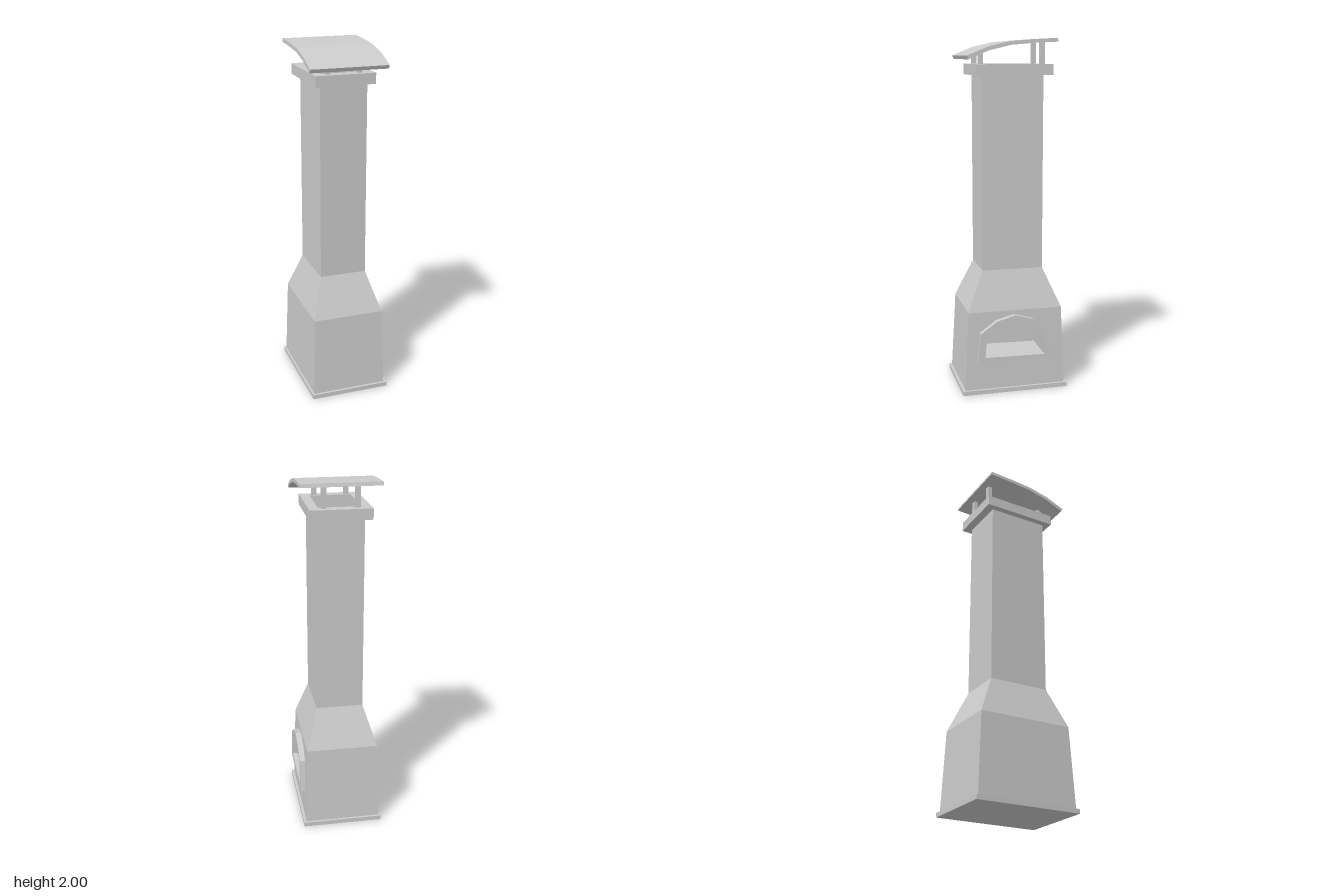
import * as THREE from 'three';

const material = new THREE.MeshStandardMaterial({ color: 0xcccccc, flatShading: true });

function addMesh(parent, name, geometry) {
  const mesh = new THREE.Mesh(geometry, material);
  mesh.name = name;
  parent.add(mesh);
  return mesh;
}

function addBox(parent, name, x0, x1, y0, y1, z0, z1) {
  const mesh = addMesh(parent, name, new THREE.BoxGeometry(x1 - x0, y1 - y0, z1 - z0));
  mesh.position.set((x0 + x1) / 2, (y0 + y1) / 2, (z0 + z1) / 2);
}

// Horizontal rectangle, counter-clockwise seen from above
const ring = (y, x0, x1, z0, z1) => [[x0, y, z1], [x1, y, z1], [x1, y, z0], [x0, y, z0]];

// Flat quads joining successive loops; skip(level, side) leaves a quad out
function loft(loops, skip = () => false) {
  const positions = [];
  for (let i = 0; i < loops.length - 1; i++) {
    const a = loops[i], b = loops[i + 1];
    a.forEach((p, j) => {
      if (skip(i, j)) return;
      const k = (j + 1) % a.length;
      positions.push(...p, ...a[k], ...b[k], ...p, ...b[k], ...b[j]);
    });
  }
  const geometry = new THREE.BufferGeometry();
  geometry.setAttribute('position', new THREE.Float32BufferAttribute(positions, 3));
  geometry.computeVertexNormals();
  return geometry;
}

// Outlines on the +x side as [z, y], counter-clockwise seen from outside
const frameOutline = [[0.222, 0.185], [-0.222, 0.187], [-0.188, 0.37], [-0.103, 0.43],
  [0.003, 0.457], [0.108, 0.43], [0.203, 0.362]];
const opening = [[0.177, 0.22], [-0.172, 0.213], [-0.161, 0.352], [-0.087, 0.393],
  [0.003, 0.411], [0.098, 0.393], [0.168, 0.348]];

function sideShape(outline) {
  const toVectors = (pts) => pts.map(([z, y]) => new THREE.Vector2(-z, y));
  const shape = new THREE.Shape(toVectors(outline));
  shape.holes.push(new THREE.Path(toVectors(opening)));
  return shape;
}

export function createModel() {
  const model = new THREE.Group();
  model.name = 'outdoorFireplace';

  addBox(model, 'basePlate', -0.233, 0.225, 0, 0.025, -0.31, 0.306);

  // Tapered hearth, shoulders and chimney shaft; the wall with the opening is separate
  addMesh(model, 'hearthAndChimney', loft([
    ring(0.025, -0.222, 0.21, -0.296, 0.291),
    ring(0.48, -0.209, 0.198, -0.277, 0.267),
    ring(0.705, -0.139, 0.129, -0.181, 0.17),
    ring(1.8, -0.139, 0.129, -0.181, 0.17),
  ], (level, side) => level === 0 && side === 1));

  // Pierced hearth wall, leaning inward with height
  const wall = new THREE.ShapeGeometry(sideShape(
    [[0.291, 0.025], [-0.296, 0.025], [-0.277, 0.48], [0.267, 0.48]])).rotateY(Math.PI / 2);
  const pos = wall.attributes.position;
  for (let i = 0; i < pos.count; i++) {
    pos.setX(i, 0.21 - 0.012 * (pos.getY(i) - 0.025) / 0.455);
  }
  wall.computeVertexNormals();
  addMesh(model, 'openingWall', wall);

  // Raised arched surround
  addMesh(model, 'openingFrame', new THREE.ExtrudeGeometry(sideShape(frameOutline),
    { depth: 0.041, bevelEnabled: false }).rotateY(Math.PI / 2).translate(0.19, 0, 0));

  // Fire chamber behind the opening
  addMesh(model, 'fireChamber', loft([
    opening.map(([z, y]) => [0.2, y, z]),
    opening.map(([z, y]) => [0, y, z]),
    opening.map(() => [0, 0.3, 0]),
  ]));

  // Chimney collar, continuing down into the flue
  const inner = (y) => ring(y, -0.122, 0.11, -0.165, 0.148);
  const outer = (y) => ring(y, -0.175, 0.163, -0.228, 0.21);
  addMesh(model, 'chimneyCollar', loft([
    inner(1.8), outer(1.8), outer(1.86), inner(1.86), inner(1.5),
    ring(1.5, -0.006, -0.006, -0.008, -0.008),
  ]));

  // Four posts carrying the rain cover
  for (const x of [-0.098, 0.083]) {
    addBox(model, 'frontPost', x - 0.014, x + 0.014, 1.85, 1.937, 0.153, 0.179);
    addBox(model, 'backPost', x - 0.014, x + 0.014, 1.85, 1.985, -0.198, -0.172);
  }

  // Curved rain cover, profile as [z, y]
  const profile = [[0.267, 1.906], [0.153, 1.953], [0.03, 1.982], [-0.1, 1.993], [-0.235, 2],
    [-0.24, 1.98], [-0.1, 1.973], [0.026, 1.962], [0.147, 1.933], [0.258, 1.886]];
  const cover = new THREE.Shape(profile.map(([z, y]) => new THREE.Vector2(-z, y)));
  addMesh(model, 'rainCover', new THREE.ExtrudeGeometry(cover,
    { depth: 0.438, bevelEnabled: false }).rotateY(Math.PI / 2).translate(-0.223, 0, 0));

  return model;
}
